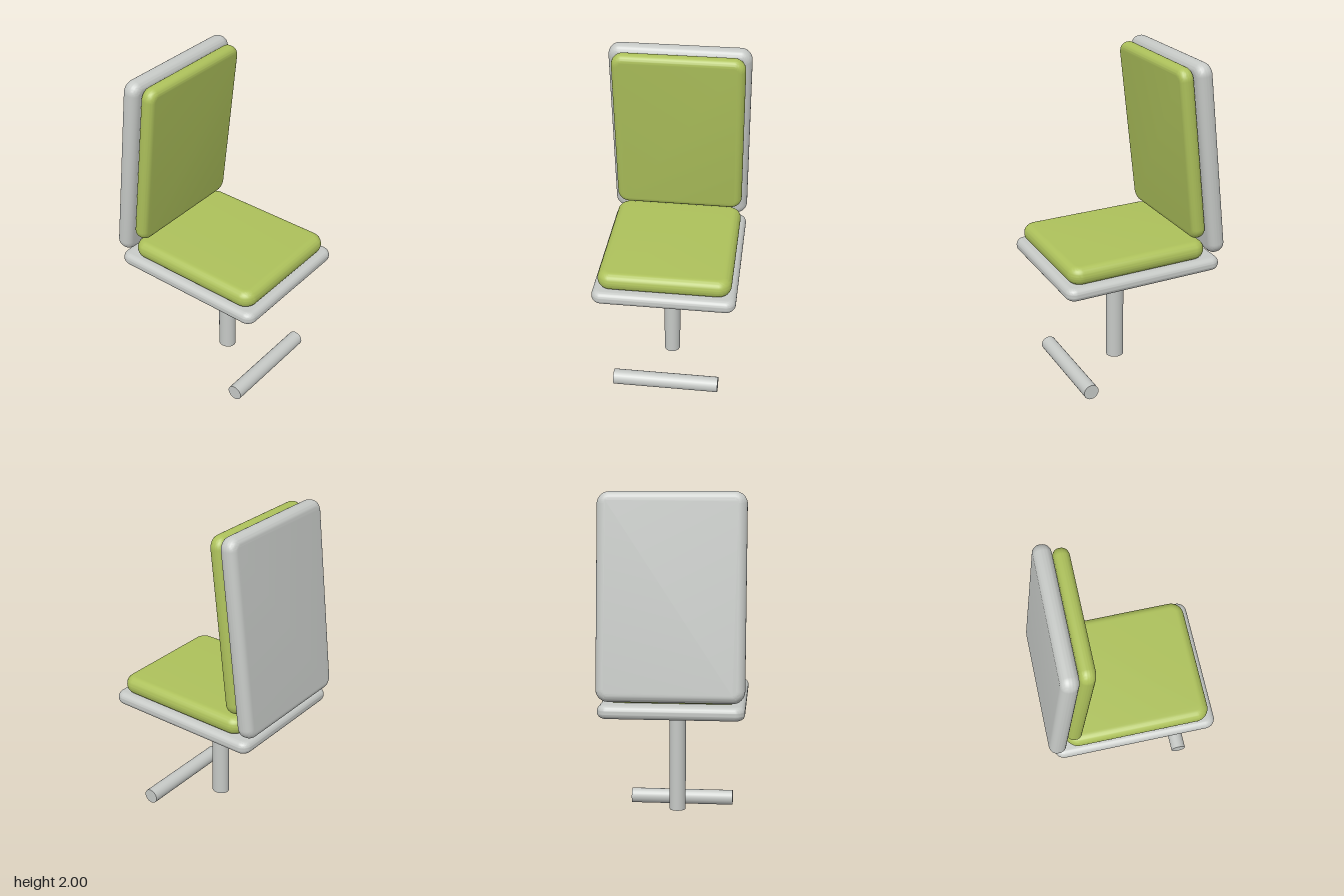
import * as THREE from 'three';
import { toCreasedNormals } from 'three/addons/utils/BufferGeometryUtils.js';

// Padded slab in the XY plane, thickness along z, rounded corners and rims
function slabGeometry(width, height, thickness, bevel, corner) {
  const x = width / 2 - bevel, y = height / 2 - bevel, r = corner - bevel;
  const shape = new THREE.Shape();
  shape.absarc(x - r, y - r, r, 0, Math.PI / 2);
  shape.absarc(-x + r, y - r, r, Math.PI / 2, Math.PI);
  shape.absarc(-x + r, -y + r, r, Math.PI, Math.PI * 1.5);
  shape.absarc(x - r, -y + r, r, Math.PI * 1.5, Math.PI * 2);
  shape.closePath();
  const geometry = new THREE.ExtrudeGeometry(shape, {
    depth: thickness - 2 * bevel,
    bevelThickness: bevel,
    bevelSize: bevel,
    bevelSegments: 10,
    curveSegments: 6,
  });
  geometry.center();
  return toCreasedNormals(geometry, 0.7);
}

export function createModel() {
  const model = new THREE.Group();
  model.name = 'chair';

  const shellGrey = new THREE.MeshStandardMaterial({ color: 0xc6c9c6 });
  shellGrey.name = 'shell grey';
  const cushionGreen = new THREE.MeshStandardMaterial({ color: 0xadc15b });
  cushionGreen.name = 'cushion green';

  const add = (name, geometry, material, position, tilt = 0) => {
    const mesh = new THREE.Mesh(geometry, material);
    mesh.name = name;
    mesh.position.set(...position);
    mesh.rotation.x = tilt;
    model.add(mesh);
    return mesh;
  };

  // Seat: grey pan with a green cushion on top
  const flat = -Math.PI / 2;
  add('seatPan', slabGeometry(0.84, 0.995, 0.08, 0.038, 0.06), shellGrey, [0, 0.765, 0.018], flat);
  add('seatCushion', slabGeometry(0.78, 0.88, 0.11, 0.052, 0.08), cushionGreen, [0, 0.855, 0.04], flat);

  // Backrest: both slabs tip forwards at the top
  const lean = 0.115;
  add('backShell', slabGeometry(0.84, 1.175, 0.102, 0.046, 0.07), shellGrey, [0, 1.412, -0.395], lean);
  add('backCushion', slabGeometry(0.78, 1.05, 0.088, 0.04, 0.07), cushionGreen, [0, 1.452, -0.291], lean);

  // Central post, slightly deeper than wide
  const post = new THREE.CylinderGeometry(0.05, 0.05, 0.68, 24).scale(1, 1, 1.1);
  add('post', post, shellGrey, [0, 0.405, 0.024]);

  // Free-standing foot bar in front
  const bar = add('footBar', new THREE.CylinderGeometry(0.047, 0.047, 0.65, 24), shellGrey, [-0.003, 0.047, 0.34]);
  bar.rotation.z = Math.PI / 2;

  return model;
}
